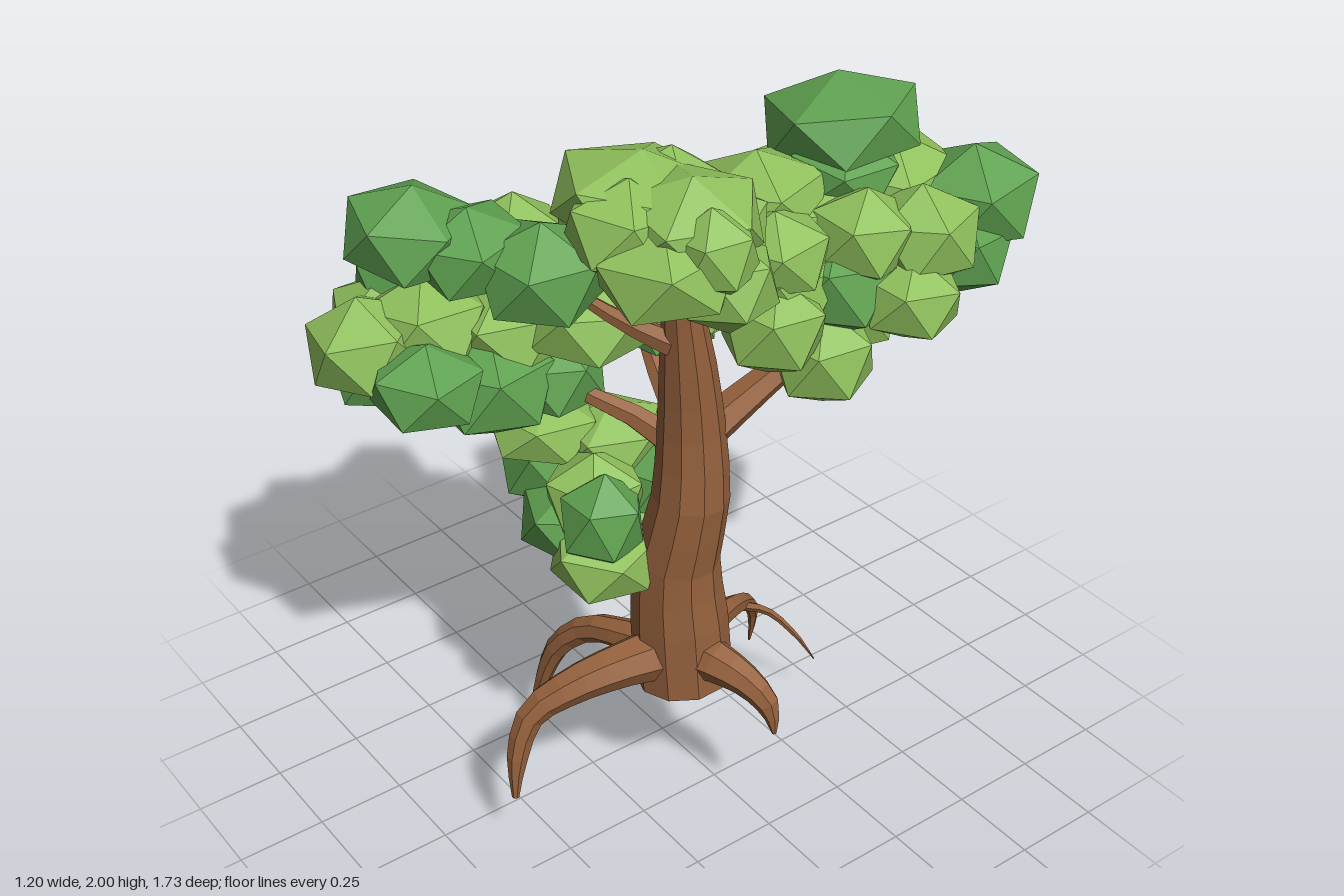
import * as THREE from 'three';

const mat = (name, color) => {
  const m = new THREE.MeshStandardMaterial({ color, flatShading: true });
  m.name = name;
  return m;
};

// Tapered limb through points [x, y, z, radius]
function limbGeometry(points, segments, sides) {
  const curve = new THREE.CatmullRomCurve3(points.map(p => new THREE.Vector3(p[0], p[1], p[2])));
  const geo = new THREE.TubeGeometry(curve, segments, 1, sides);
  const pos = geo.attributes.position;
  const v = new THREE.Vector3();
  for (let i = 0; i <= segments; i++) {
    const u = i / segments;
    const c = curve.getPointAt(u);
    const t = curve.getUtoTmapping(u) * (points.length - 1);
    const k = Math.min(Math.floor(t), points.length - 2);
    const r = THREE.MathUtils.lerp(points[k][3], points[k + 1][3], t - k);
    for (let j = 0; j <= sides; j++) {
      const n = i * (sides + 1) + j;
      v.fromBufferAttribute(pos, n).sub(c).multiplyScalar(r).add(c);
      pos.setXYZ(n, v.x, v.y, v.z);
    }
  }
  return geo;
}

export function createModel() {
  const tree = new THREE.Group();
  tree.name = 'tree';
  const bark = mat('bark brown', 0x94603c);
  const light = mat('light leaf green', 0x8fc05c);
  const dark = mat('dark leaf green', 0x5fa150);

  const limb = (name, points, segments, sides) => {
    const mesh = new THREE.Mesh(limbGeometry(points, segments, sides), bark);
    mesh.name = name;
    tree.add(mesh);
  };

  // Trunk with a flat underside
  limb('trunk', [
    [0.224, 0.41, 0.095, 0.133], [0.214, 0.58, 0.1, 0.135], [0.212, 0.8, 0.11, 0.116],
    [0.246, 1.0, 0.092, 0.104], [0.242, 1.2, 0.087, 0.09], [0.25, 1.4, 0.105, 0.074],
    [0.265, 1.72, 0.15, 0.038],
  ], 13, 10);
  const base = new THREE.Mesh(new THREE.CircleGeometry(0.133, 10), bark);
  base.name = 'trunkBase';
  base.rotation.x = Math.PI / 2;
  base.position.set(0.224, 0.41, 0.095);
  tree.add(base);

  // Arching roots
  limb('rightRoot', [
    [0.2, 0.47, 0.1, 0.065], [0.05, 0.46, 0.16, 0.045], [-0.08, 0.42, 0.2, 0.04],
    [-0.17, 0.32, 0.245, 0.035], [-0.22, 0.18, 0.27, 0.024], [-0.268, 0.0, 0.292, 0.004],
  ], 12, 7);
  limb('frontRoot', [
    [0.22, 0.5, 0.1, 0.085], [0.21, 0.52, 0.26, 0.065], [0.17, 0.49, 0.42, 0.052],
    [0.13, 0.42, 0.53, 0.04], [0.135, 0.3, 0.585, 0.03], [0.155, 0.18, 0.61, 0.01],
  ], 12, 7);
  limb('leftRoot', [
    [0.22, 0.5, 0.1, 0.08], [0.34, 0.52, 0.08, 0.06], [0.43, 0.49, 0.04, 0.045],
    [0.49, 0.43, 0.01, 0.033], [0.52, 0.35, 0.01, 0.006],
  ], 9, 7);
  limb('backRoot', [
    [0.2, 0.47, 0.06, 0.06], [0.14, 0.46, -0.08, 0.038], [0.07, 0.41, -0.21, 0.03],
    [0.01, 0.33, -0.31, 0.022], [-0.02, 0.24, -0.35, 0.014], [-0.04, 0.14, -0.355, 0.004],
  ], 11, 6);
  limb('thinBackRoot', [
    [0.06, 0.4, -0.21, 0.016], [0.08, 0.34, -0.32, 0.012],
    [0.13, 0.25, -0.39, 0.008], [0.16, 0.155, -0.44, 0.002],
  ], 8, 5);

  // Branches reaching into the crown
  limb('backBranch', [[0.24, 1.17, 0.08, 0.06], [0.27, 1.28, -0.1, 0.045], [0.32, 1.42, -0.32, 0.028], [0.36, 1.56, -0.52, 0.01]], 6, 6);
  limb('upperFrontBranch', [[0.26, 1.47, 0.12, 0.04], [0.21, 1.54, 0.23, 0.028], [0.15, 1.65, 0.36, 0.016], [0.1, 1.75, 0.45, 0.01]], 6, 6);
  limb('lowerFrontBranch', [[0.24, 1.13, 0.09, 0.05], [0.14, 1.21, 0.16, 0.035], [0.02, 1.29, 0.28, 0.022], [-0.15, 1.36, 0.38, 0.01]], 6, 6);
  limb('rightBranch', [[0.24, 1.2, 0.09, 0.045], [0.13, 1.28, 0.09, 0.032], [0.02, 1.4, 0.08, 0.02]], 5, 6);

  // Leaf clumps: squashed icosahedra standing on a corner, [x, y, z, radius, halfHeight]
  const clumpGeo = new THREE.IcosahedronGeometry(1, 0).rotateZ(Math.atan(0.618));
  let count = 0;
  const clumps = (name, material, list) => {
    const group = new THREE.Group();
    group.name = name;
    for (const [x, y, z, r, h] of list) {
      const mesh = new THREE.Mesh(clumpGeo, material);
      mesh.name = 'leafClump';
      count++;
      mesh.position.set(x, y, z);
      mesh.scale.set(r * 1.13, h * 1.07, r * 1.13);
      mesh.rotation.set(0.1 * Math.sin(count * 2.3), count * 1.7, 0.1 * Math.cos(count * 3.1), 'YXZ');
      group.add(mesh);
    }
    tree.add(group);
  };

  clumps('topLeaves', light, [
    [0.17, 1.87, 0.2, 0.2, 0.115], [0.33, 1.86, 0.16, 0.17, 0.115], [0.36, 1.78, 0.25, 0.17, 0.12],
    [0.17, 1.79, 0.2, 0.2, 0.12], [0.43, 1.73, 0.13, 0.12, 0.12], [0.24, 1.84, 0.29, 0.14, 0.12],
    [0.28, 1.79, 0.08, 0.15, 0.12], [0.45, 1.83, 0.18, 0.1, 0.11], [0.16, 1.85, 0.1, 0.14, 0.11],
  ]);
  clumps('topFrontLeaves', dark, [
    [-0.11, 1.8, 0.66, 0.155, 0.12], [0.13, 1.73, 0.45, 0.15, 0.13], [0.0, 1.77, 0.56, 0.14, 0.11],
  ]);
  clumps('frontLightLeaves', light, [
    [-0.28, 1.43, 0.71, 0.15, 0.13], [-0.45, 1.48, 0.16, 0.14, 0.13], [-0.45, 1.38, 0.31, 0.15, 0.15],
    [-0.15, 1.44, 0.36, 0.17, 0.13], [-0.24, 1.46, 0.56, 0.16, 0.13], [-0.08, 1.53, 0.12, 0.18, 0.13],
    [0.0, 1.48, 0.24, 0.16, 0.12], [-0.36, 1.31, 0.24, 0.14, 0.11], [-0.37, 1.42, 0.6, 0.15, 0.13],
    [-0.33, 1.4, 0.14, 0.13, 0.12],
  ]);
  clumps('frontDarkLeaves', dark, [
    [-0.38, 1.51, 0.49, 0.17, 0.13], [-0.45, 1.3, 0.5, 0.14, 0.13], [-0.36, 1.31, 0.6, 0.16, 0.13],
    [-0.1, 1.32, 0.46, 0.16, 0.14], [-0.22, 1.25, 0.4, 0.16, 0.12], [-0.28, 1.46, 0.25, 0.15, 0.12],
    [-0.1, 1.38, 0.65, 0.14, 0.11], [-0.06, 1.31, 0.3, 0.13, 0.12],
  ]);
  clumps('lowerLightLeaves', light, [
    [-0.17, 1.09, 0.27, 0.15, 0.1], [0.12, 0.83, 0.28, 0.14, 0.11], [-0.06, 1.05, 0.12, 0.14, 0.1],
    [0.04, 0.97, 0.25, 0.13, 0.12], [0.04, 0.83, 0.17, 0.14, 0.1],
  ]);
  clumps('lowerDarkLeaves', dark, [
    [-0.19, 0.95, 0.23, 0.14, 0.13], [0.04, 0.93, 0.06, 0.12, 0.15], [-0.02, 0.87, 0.26, 0.16, 0.11],
    [0.13, 0.95, 0.29, 0.11, 0.13], [-0.14, 0.97, 0.1, 0.14, 0.14],
  ]);
  clumps('backLightLeaves', light, [
    [-0.1, 1.58, -0.24, 0.16, 0.14], [0.47, 1.53, -0.42, 0.13, 0.11], [0.22, 1.72, -0.56, 0.17, 0.13],
    [0.12, 1.55, -0.05, 0.17, 0.13], [0.36, 1.37, -0.24, 0.13, 0.13], [0.14, 1.74, -0.2, 0.17, 0.12],
    [0.05, 1.68, -0.45, 0.17, 0.13], [0.35, 1.51, -0.08, 0.13, 0.13], [0.42, 1.66, -0.5, 0.14, 0.13],
    [0.2, 1.66, -0.34, 0.18, 0.13], [0.26, 1.58, -0.15, 0.17, 0.13], [0.25, 1.42, -0.38, 0.15, 0.12],
    [0.02, 1.53, -0.12, 0.16, 0.13], [0.31, 1.68, -0.12, 0.13, 0.11], [0.32, 1.6, -0.64, 0.15, 0.12],
    [0.36, 1.68, -0.35, 0.13, 0.12],
  ]);
  clumps('backDarkLeaves', dark, [
    [0.38, 1.69, -0.71, 0.16, 0.14], [0.13, 1.87, -0.47, 0.2, 0.125], [0.32, 1.55, -0.31, 0.16, 0.14],
    [0.42, 1.58, -0.63, 0.13, 0.12], [-0.02, 1.43, 0.0, 0.16, 0.13], [0.13, 1.6, -0.62, 0.13, 0.12],
    [0.08, 1.49, -0.3, 0.17, 0.13], [-0.16, 1.42, 0.05, 0.13, 0.12], [0.2, 1.78, -0.42, 0.14, 0.1],
  ]);
  return tree;
}
